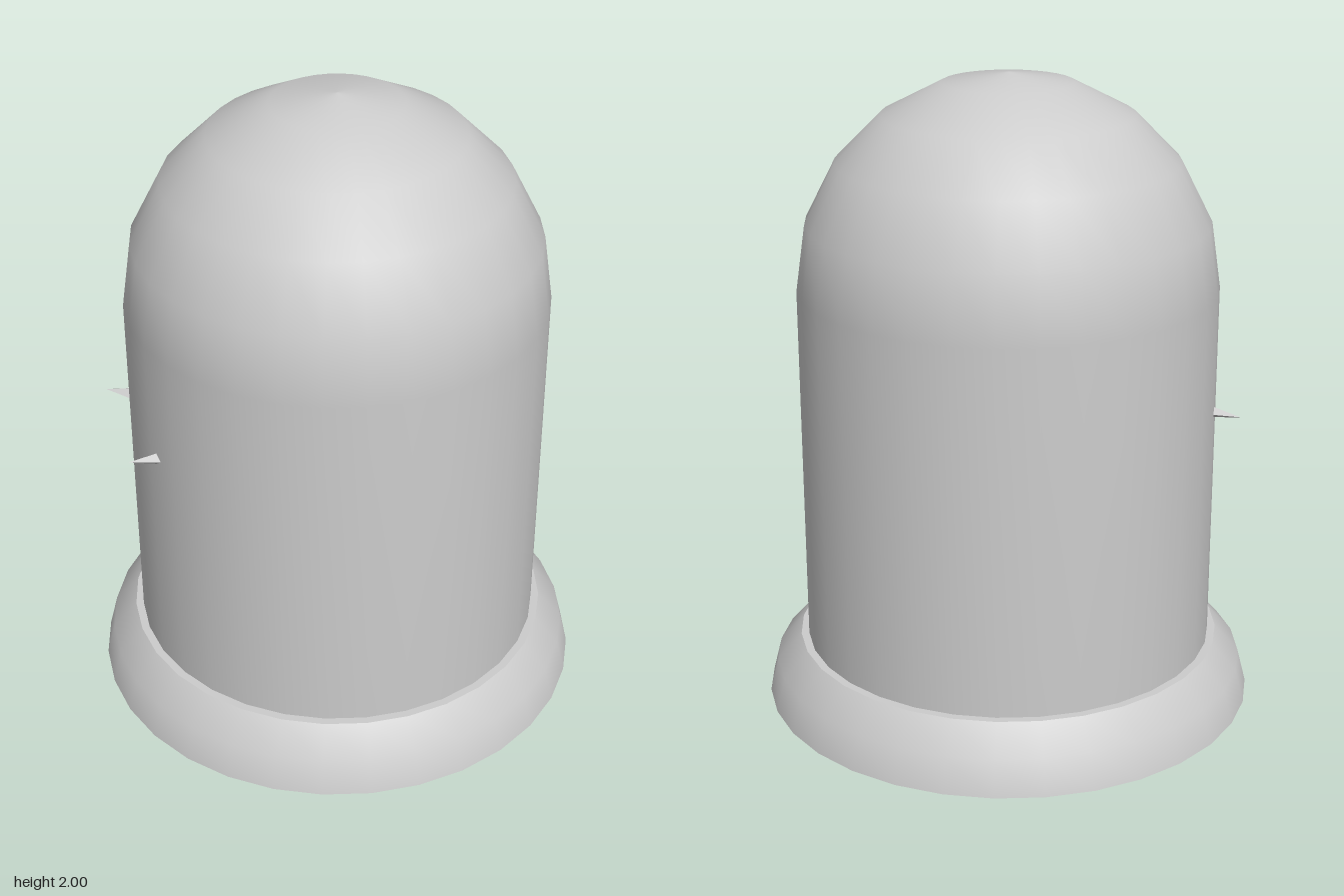
import * as THREE from 'three';

const SEGMENTS = 32;

// Smooth turned surface from [radius, height] pairs
function turned(name, profile, side = THREE.FrontSide) {
  const points = profile.map(([r, y]) => new THREE.Vector2(r, y));
  const mesh = new THREE.Mesh(
    new THREE.LatheGeometry(points, SEGMENTS),
    new THREE.MeshStandardMaterial({ color: 0xcccccc, side })
  );
  mesh.name = name;
  return mesh;
}

// Small four-sided splinter running from its root inside the wall to its tip
function splinter(name, root, tip, width, height) {
  const from = new THREE.Vector3(...root);
  const dir = new THREE.Vector3(...tip).sub(from);
  const length = dir.length();
  const geometry = new THREE.ConeGeometry(0.5, length, 4);
  geometry.translate(0, length / 2, 0);
  geometry.rotateX(Math.PI / 2); // tip towards +z
  geometry.scale(width, height, 1);
  const mesh = new THREE.Mesh(
    geometry,
    new THREE.MeshStandardMaterial({ color: 0xcccccc, flatShading: true })
  );
  mesh.name = name;
  mesh.position.copy(from);
  mesh.quaternion.setFromUnitVectors(new THREE.Vector3(0, 0, 1), dir.normalize());
  return mesh;
}

export function createModel() {
  const model = new THREE.Group();
  model.name = 'domedJar';

  // Straight wall and faceted round top
  model.add(turned('dome', [
    [0.65, 0.195], [0.65, 1.345], [0.62, 1.55], [0.525, 1.735],
    [0.385, 1.875], [0.2, 1.97], [0, 2],
  ]));

  // Foot: rounded outside, flat shoulder, hollow underside
  const foot = new THREE.Group();
  foot.name = 'foot';
  foot.add(
    turned('footRim', [[0.78, 0], [0.752, 0.11], [0.675, 0.195]]),
    turned('footShoulder', [[0.675, 0.195], [0.64, 0.195]]),
    turned('footInnerSlope', [[0.65, 0.086], [0.78, 0]]),
    turned('footUnderside', [[0, 0.086], [0.65, 0.086]]),
    turned('footCollar', [[0.365, 0], [0.365, 0.086]], THREE.DoubleSide)
  );
  model.add(foot);

  // Splinters sticking out of the wall
  model.add(
    splinter('rearSplinter', [-0.6, 0.97, -0.075], [-0.72, 0.967, -0.13], 0.085, 0.05),
    splinter('frontSplinter', [-0.56, 0.97, 0.277], [-0.67, 0.965, 0.28], 0.05, 0.05)
  );
  return model;
}
